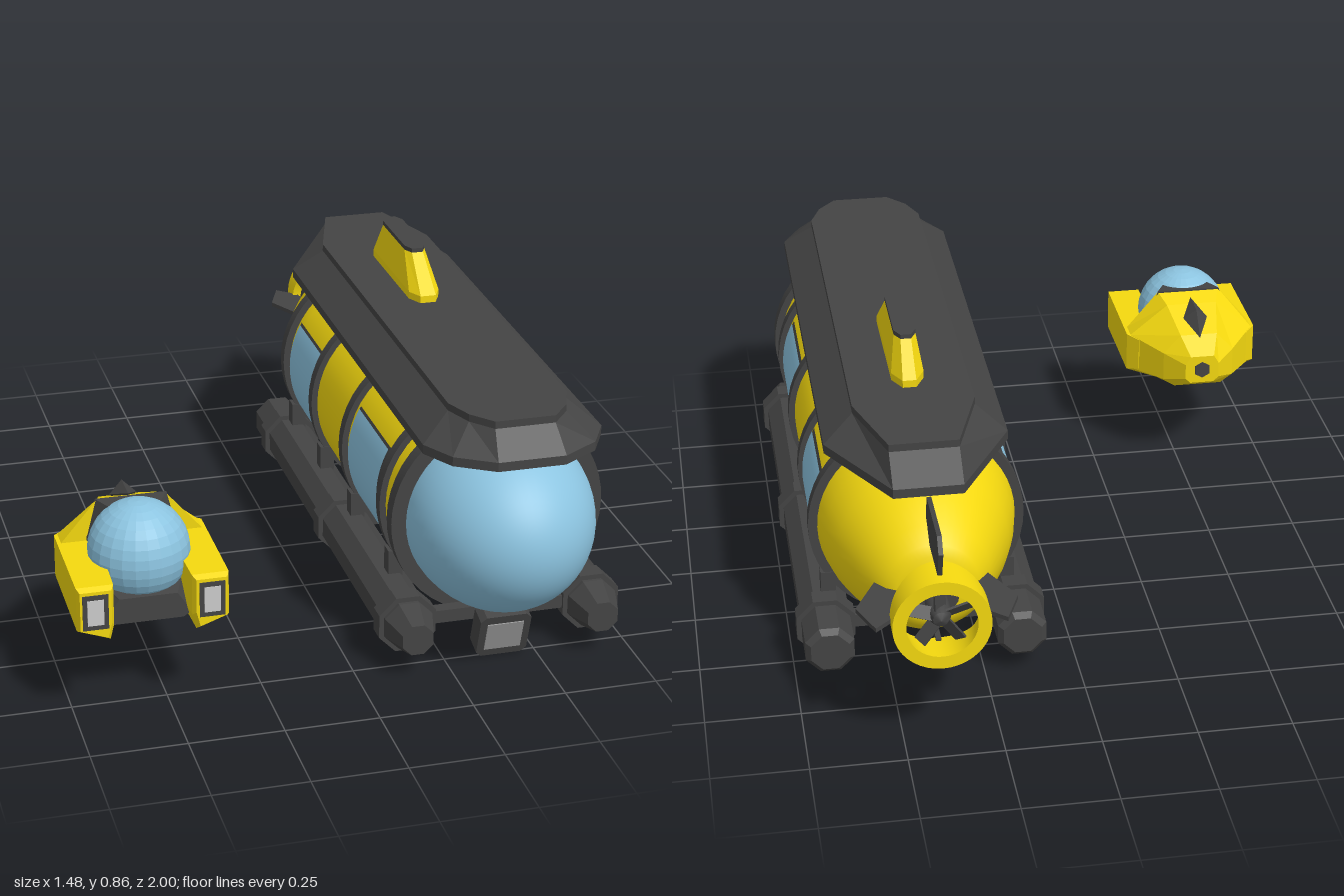
import * as THREE from 'three';
import { toCreasedNormals } from 'three/addons/utils/BufferGeometryUtils.js';

const mat = (color, flatShading = false) =>
  new THREE.MeshStandardMaterial({ color, flatShading, side: THREE.DoubleSide });
const YELLOW = mat(0xf5d90f), DARK = mat(0x444444), GLASS = mat(0x8cc4e0), GREY = mat(0x999999), LAMP = mat(0xcccccc);
const AXIS = 0.39; // height of the hull axis

function add(parent, name, geo, material, x = 0, y = 0, z = 0) {
  const m = new THREE.Mesh(geo, material);
  m.name = name;
  m.position.set(x, y, z);
  parent.add(m);
  return m;
}

// Faceted solid through rings of equal point count, capped at both ends
function loft(rings) {
  const n = rings[0].length, tris = [];
  const tri = (a, b, c) => tris.push([a, b, c].map(p => new THREE.Vector3(...p)));
  for (let i = 0; i < rings.length - 1; i++) {
    for (let j = 0; j < n; j++) {
      const k = (j + 1) % n, a = rings[i], b = rings[i + 1];
      tri(a[j], a[k], b[k]);
      tri(a[j], b[k], b[j]);
    }
  }
  const last = rings[rings.length - 1];
  for (let j = 1; j < n - 1; j++) {
    tri(rings[0][0], rings[0][j + 1], rings[0][j]);
    tri(last[0], last[j], last[j + 1]);
  }
  // turn the faces outward
  const volume = tris.reduce((s, [a, b, c]) => s + a.dot(b.clone().cross(c)), 0);
  const pts = tris.flatMap(([a, b, c]) => (volume > 0 ? [a, b, c] : [a, c, b]));
  const geo = new THREE.BufferGeometry().setFromPoints(pts);
  geo.computeVertexNormals();
  return geo;
}

// Lathe about z from [radius, z] pairs
function latheZ(profile, segments = 48, crease = 0.6) {
  const geo = new THREE.LatheGeometry(profile.map(p => new THREE.Vector2(...p)), segments).rotateX(Math.PI / 2);
  return toCreasedNormals(geo, crease);
}

const band = (r, inner, z0, z1, seg = 48) =>
  latheZ([[inner, z0], [r, z0], [r, z1], [inner, z1], [inner, z0]], seg);

// Symmetric outline in plan from half-widths [x, z], at height y
const plan = (half, y) => [
  ...half.map(([x, z]) => [x, y, z]),
  ...half.slice().reverse().map(([x, z]) => [-x, y, z]),
];

function plate(points, thick) {
  const shape = new THREE.Shape(points.map(p => new THREE.Vector2(...p)));
  return new THREE.ExtrudeGeometry(shape, { depth: thick, bevelEnabled: false })
    .translate(0, 0, -thick / 2).rotateX(Math.PI / 2);
}

function buildHull(sub) {
  add(sub, 'hull', latheZ([[0, -0.82], [0.095, -0.82], [0.12, -0.805], [0.155, -0.76], [0.19, -0.69],
    [0.225, -0.61], [0.25, -0.53], [0.265, -0.45], [0.27, -0.38], [0.27, 0.66], [0.24, 0.66]]), YELLOW, 0, AXIS);
  const dome = new THREE.SphereGeometry(0.25, 48, 20, 0, Math.PI * 2, 0, Math.PI / 2)
    .rotateX(Math.PI / 2).scale(1, 1, 1.24);
  add(sub, 'noseDome', dome, GLASS, 0, AXIS, 0.69);
  add(sub, 'noseRing', band(0.29, 0.245, 0.65, 0.692), DARK, 0, AXIS);
  for (const z of [0.557, 0.192, -0.128, -0.445]) {
    add(sub, 'hullRing', band(0.287, 0.25, z - 0.017, z + 0.017), DARK, 0, AXIS);
    for (const s of [-1, 1]) add(sub, 'skidStrut', new THREE.BoxGeometry(0.04, 0.1, 0.04), DARK, s * 0.24, 0.2, z);
  }
  // side windows with thin frames
  for (const [z0, z1] of [[0.235, 0.51], [-0.395, -0.165]]) for (const side of [1, 3]) {
    const pane = (r, grow) => new THREE.CylinderGeometry(r, r, z1 - z0 + 2 * grow, 16, 1, true,
      side * Math.PI / 2 - 0.48 - grow * 3.6, 0.96 + grow * 7.2).rotateX(Math.PI / 2);
    add(sub, 'windowFrame', pane(0.273, 0.007), DARK, 0, AXIS, (z0 + z1) / 2);
    add(sub, 'window', pane(0.277, 0), GLASS, 0, AXIS, (z0 + z1) / 2);
  }
  const hatch = new THREE.CylinderGeometry(0.1, 0.1, 0.06, 24, 1, true);
  add(sub, 'bellyHatch', hatch, DARK, 0, 0.135, 0.02);
  add(sub, 'bellyHatchRim', new THREE.TorusGeometry(0.095, 0.014, 8, 24).rotateX(Math.PI / 2), DARK, 0, 0.11, 0.02);
}

function buildDeck(sub) {
  const outer = [[0.09, -0.765], [0.24, -0.5], [0.24, 0.79], [0.19, 0.88], [0.09, 0.942]];
  const inner = [[0.09, -0.685], [0.16, -0.46], [0.16, 0.74], [0.13, 0.82], [0.08, 0.88]];
  add(sub, 'deck', loft([plan(outer, 0.63), plan(outer, 0.655), plan(inner, 0.72), plan(inner, 0.74)]), DARK);
  const foot = [[0.018, -0.38], [0.043, -0.33], [0.043, 0.02], [0.022, 0.063]];
  const head = [[0.014, -0.315], [0.029, -0.285], [0.029, -0.075], [0.016, -0.045]];
  add(sub, 'tower', loft([plan(foot, 0.735), plan(foot, 0.76), plan(head, 0.85)]), YELLOW);
  add(sub, 'towerCap', loft([plan(head, 0.85), plan(head, 0.862)]), DARK);
}

function buildSkids(sub) {
  const oct = g => g.rotateZ(Math.PI / 8);
  for (const s of [-1, 1]) {
    const tube = latheZ([[0, -0.65], [0.055, -0.65], [0.07, -0.635], [0.07, 0.75], [0.045, 0.835], [0, 0.835]], 8, 0.1);
    add(sub, 'skid', oct(tube), DARK, s * 0.255, 0.118);
    for (const z of [0.715, 0.11, -0.495])
      add(sub, 'skidClamp', oct(latheZ([[0, -0.026], [0.084, -0.026], [0.084, 0.026], [0, 0.026]], 8, 0.1)), DARK, s * 0.255, 0.118, z);
  }
  for (const z of [0.715, 0.11, -0.495]) add(sub, 'crossBar', new THREE.BoxGeometry(0.5, 0.036, 0.036), DARK, 0, 0.122, z);
  // lamp slung under the nose, tilted down
  const lamp = new THREE.Group();
  lamp.name = 'noseLamp';
  const square = (h, c, z) => [[h, c], [c, h], [-c, h], [-h, c], [-h, -c], [-c, -h], [c, -h], [h, -c]].map(([x, y]) => [x, y, z]);
  add(lamp, 'lampHousing', loft([square(0.05, 0.035, -0.05), square(0.07, 0.055, -0.02), square(0.07, 0.055, 0.035)]), DARK);
  add(lamp, 'lampLens', new THREE.BoxGeometry(0.1, 0.09, 0.006), GREY, 0, 0, 0.035);
  lamp.position.set(0, 0.08, 0.745);
  lamp.rotation.x = 0.3;
  sub.add(lamp);
}

function buildTail(sub) {
  add(sub, 'shaft', latheZ([[0, -0.975], [0.02, -0.965], [0.03, -0.94], [0.03, -0.865], [0.045, -0.865], [0.045, -0.85],
    [0.063, -0.85], [0.063, -0.825], [0.04, -0.825], [0.04, -0.8]], 16), DARK, 0, AXIS);
  // duct whose front edge reaches forward at top and bottom
  const duct = new THREE.LatheGeometry([[0.09, -0.995], [0.125, -0.995], [0.125, -0.935], [0.1, -0.935], [0.09, -0.995]]
    .map(p => new THREE.Vector2(...p)), 40).rotateX(Math.PI / 2);
  const p = duct.attributes.position;
  for (let i = 0; i < p.count; i++) {
    const s = p.getY(i) / Math.hypot(p.getX(i), p.getY(i));
    if (p.getZ(i) > -0.96) p.setZ(i, p.getZ(i) + 0.045 * s * s);
  }
  duct.computeVertexNormals();
  add(sub, 'duct', toCreasedNormals(duct, 0.6), YELLOW, 0, AXIS);
  for (let i = 0; i < 5; i++) {
    const blade = new THREE.BoxGeometry(0.035, 0.07, 0.006).rotateY(0.6).translate(0, 0.053, 0);
    add(sub, 'blade', blade.rotateZ(i * Math.PI * 0.4), DARK, 0, AXIS, -0.945);
  }
  const side = [[0.09, -0.83], [0.13, -0.74], [0.205, -0.89], [0.165, -0.99], [0.11, -0.94]];
  const top = [[0.12, -0.8], [0.14, -0.73], [0.235, -0.76], [0.24, -0.965], [0.2, -0.99], [0.125, -0.96]];
  add(sub, 'leftFin', plate(side, 0.012), DARK, 0, AXIS);
  add(sub, 'rightFin', plate(side.map(([x, z]) => [-x, z]), 0.012), DARK, 0, AXIS);
  add(sub, 'topFin', plate(top, 0.012).rotateZ(Math.PI / 2), DARK, 0, AXIS);
  add(sub, 'ductStrut', new THREE.BoxGeometry(0.014, 0.02, 0.14), DARK, 0, 0.287, -0.84);
}

function buildPod(pod) {
  // section: z, top half-width and height, side half-width with upper and lower heights, bottom half-width and height
  const section = ([z, tw, yt, w, ys, yl, bw, yb]) => [[tw, yt], [w, ys], [w, yl], [bw, yb],
    [-bw, yb], [-w, yl], [-w, ys], [-tw, yt]].map(([x, y]) => [x, y, z]);
  const shoulder = [0.585, 0.092, 0.5, 0.185, 0.39, 0.28, 0.1, 0.24];
  add(pod, 'podBody', loft([
    [0.362, 0.035, 0.385, 0.05, 0.36, 0.315, 0.035, 0.3],
    [0.42, 0.055, 0.43, 0.105, 0.375, 0.29, 0.07, 0.265],
    [0.53, 0.075, 0.48, 0.185, 0.39, 0.28, 0.1, 0.24],
    shoulder].map(section)), YELLOW);
  add(pod, 'podCollar', loft([
    [0.58, 0.094, 0.503, 0.12, 0.4, 0.3, 0.09, 0.27],
    [0.655, 0.055, 0.5, 0.1, 0.4, 0.3, 0.09, 0.27]].map(section)), DARK);
  add(pod, 'podFloor', loft([
    [0.56, 0.1, 0.32, 0.11, 0.3, 0.27, 0.1, 0.236],
    [0.72, 0.1, 0.33, 0.11, 0.31, 0.26, 0.1, 0.236],
    [0.785, 0.075, 0.315, 0.105, 0.27, 0.255, 0.09, 0.245]].map(section)), DARK);
  add(pod, 'podDome', new THREE.SphereGeometry(0.132, 24, 16), mat(0x8cc4e0, true), 0, 0.397, 0.672);
  // diamond-shaped crest on the sloping back
  const crest = add(pod, 'crest', new THREE.OctahedronGeometry(1).scale(0.036, 0.035, 0.08).toNonIndexed(), mat(0x444444, true), 0, 0.46, 0.475);
  crest.rotation.x = -0.42;
  add(pod, 'podNozzle', new THREE.CylinderGeometry(0.025, 0.025, 0.02, 6).rotateX(Math.PI / 2), DARK, 0, 0.342, 0.368);
  for (const s of [-1, 1]) {
    const arm = ([z, a, b, t, m, l]) => [[a, t], [b, t], [b, m], [a + 0.01, l], [a, l + 0.04]].map(([x, y]) => [s * x, y, z]);
    add(pod, 'podArm', loft([
      [0.5, 0.08, 0.165, 0.385, 0.29, 0.25],
      [0.535, 0.09, 0.195, 0.39, 0.275, 0.238],
      [0.84, 0.1, 0.195, 0.39, 0.27, 0.238],
      [0.856, 0.108, 0.188, 0.382, 0.275, 0.25]].map(arm)), YELLOW);
    add(pod, 'podLampFrame', new THREE.BoxGeometry(0.066, 0.096, 0.01), DARK, s * 0.149, 0.325, 0.853);
    add(pod, 'podLamp', new THREE.BoxGeometry(0.042, 0.07, 0.01), LAMP, s * 0.149, 0.325, 0.855);
  }
}

export function createModel() {
  const model = new THREE.Group();
  model.name = 'submarineWithPod';
  const sub = new THREE.Group(), pod = new THREE.Group();
  sub.name = 'submarine';
  sub.position.x = 0.405;
  pod.name = 'pod';
  pod.position.x = -0.55;
  for (const build of [buildHull, buildDeck, buildSkids, buildTail]) build(sub);
  buildPod(pod);
  model.add(sub, pod);
  return model;
}
